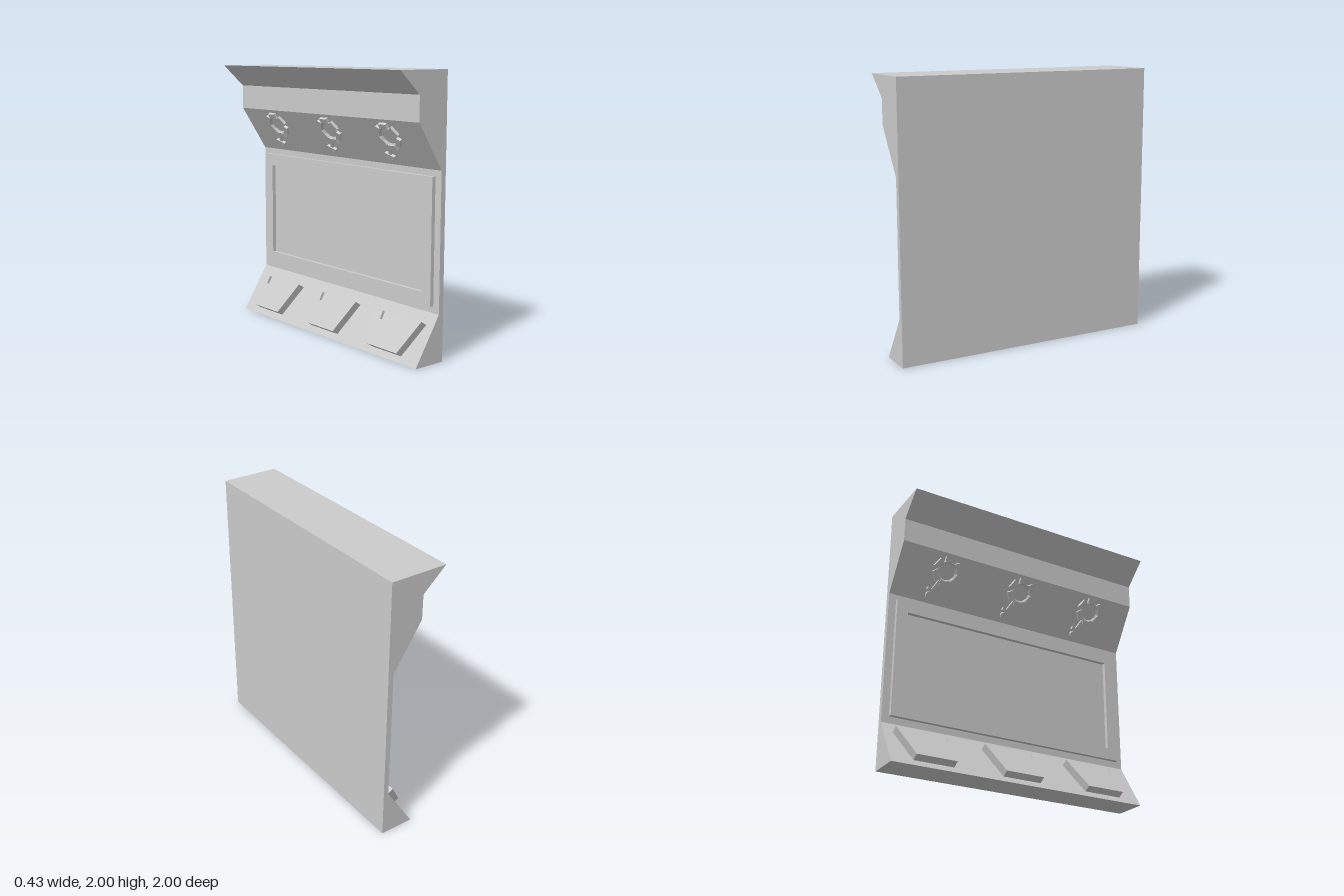
import * as THREE from 'three';

const grey = new THREE.MeshStandardMaterial({ color: 0xcccccc, flatShading: true });

function add(parent, name, geometry, x = 0, y = 0, z = 0, turn = 0) {
  const mesh = new THREE.Mesh(geometry, grey);
  mesh.name = name;
  mesh.position.set(x, y, z);
  mesh.rotation.z = turn;
  parent.add(mesh);
  return mesh;
}

const polygon = (points) => new THREE.Shape(points.map(([x, y]) => new THREE.Vector2(x, y)));
const slab = (shape, depth) => new THREE.ExtrudeGeometry(shape, { depth, bevelEnabled: false });

// Group lying on a wall face: local x runs along the wall, y up the face, z outwards
function faceGroup(name, from, to) {
  const group = new THREE.Group();
  group.name = name;
  const up = new THREE.Vector3(to[0] - from[0], to[1] - from[1], 0).normalize();
  const out = new THREE.Vector3(-up.y, up.x, 0);
  group.quaternion.setFromRotationMatrix(
    new THREE.Matrix4().makeBasis(new THREE.Vector3(0, 0, 1), up, out));
  group.position.set(from[0], from[1], 0);
  return group;
}

// Trapezoid console with a shallow notch in its upper edge
function makeConsole() {
  const g = new THREE.Group();
  g.name = 'console';
  const base = polygon([[-0.15, 0.05], [0.15, 0.05], [0.25, 0.31], [-0.25, 0.31]]);
  const cover = polygon([[-0.15, 0.05], [0.15, 0.05], [0.25, 0.31], [0.135, 0.31],
    [0.13, 0.245], [-0.13, 0.245], [-0.135, 0.31], [-0.25, 0.31]]);
  add(g, 'consoleBase', slab(base, 0.035));
  add(g, 'consoleCover', slab(cover, 0.022), 0, 0, 0.034);
  return g;
}

// Ring of blocks with a slanted stem and a small foot
function makeFitting() {
  const g = new THREE.Group();
  g.name = 'wallFitting';
  const cy = 0.26, cx = 0.01;
  add(g, 'fittingRing', new THREE.TorusGeometry(0.075, 0.011, 4, 12), cx, cy, 0.006);
  for (let i = 0; i < 6; i++) {
    const a = (i + 0.5) * Math.PI / 3;
    add(g, 'ringBlock', new THREE.BoxGeometry(0.036, 0.075, 0.022),
      cx + 0.09 * Math.cos(a), cy + 0.09 * Math.sin(a), 0.011, a);
  }
  const dx = -0.09, dy = -0.2;
  const turn = Math.atan2(dy, dx);
  add(g, 'stem', new THREE.BoxGeometry(0.13, 0.022, 0.016), cx + dx * 0.66, cy + dy * 0.66, 0.008, turn);
  add(g, 'footBar', new THREE.BoxGeometry(0.024, 0.085, 0.022), cx + dx * 0.85, cy + dy * 0.85, 0.011, turn);
  add(g, 'foot', new THREE.CylinderGeometry(0.026, 0.026, 0.022, 8).rotateX(Math.PI / 2),
    cx + dx, cy + dy, 0.011);
  return g;
}

export function createModel() {
  const model = new THREE.Group();
  model.name = 'wallPanel';

  // Wall body: one side profile drawn along the full length
  const profile = polygon([[0.215, 0], [0.215, 2], [-0.215, 2], [-0.04, 1.84],
    [-0.04, 1.66], [0.175, 1.33], [0.175, 0.34], [-0.04, 0]]);
  add(model, 'wallBody', slab(profile, 2), 0, 0, -1);

  // Raised frame on the flat middle
  const middle = faceGroup('middlePanel', [0.175, 0], [0.175, 1]);
  const frame = polygon([[-0.945, 0.39], [0.945, 0.39], [0.945, 1.285], [-0.945, 1.285]]);
  frame.holes.push(polygon([[-0.86, 0.48], [-0.86, 1.195], [0.86, 1.195], [0.86, 0.48]]));
  add(middle, 'screenFrame', slab(frame, 0.03));

  // Three consoles on the lower slope, three fittings on the upper slope
  const lower = faceGroup('lowerSlope', [-0.04, 0], [0.175, 0.34]);
  const upper = faceGroup('upperSlope', [0.175, 1.33], [-0.04, 1.66]);
  for (const i of [-1, 0, 1]) {
    const desk = makeConsole();
    desk.position.x = i * 0.68;
    lower.add(desk);
    const fitting = makeFitting();
    fitting.position.x = i * 0.63;
    upper.add(fitting);
  }
  model.add(middle, lower, upper);
  return model;
}
